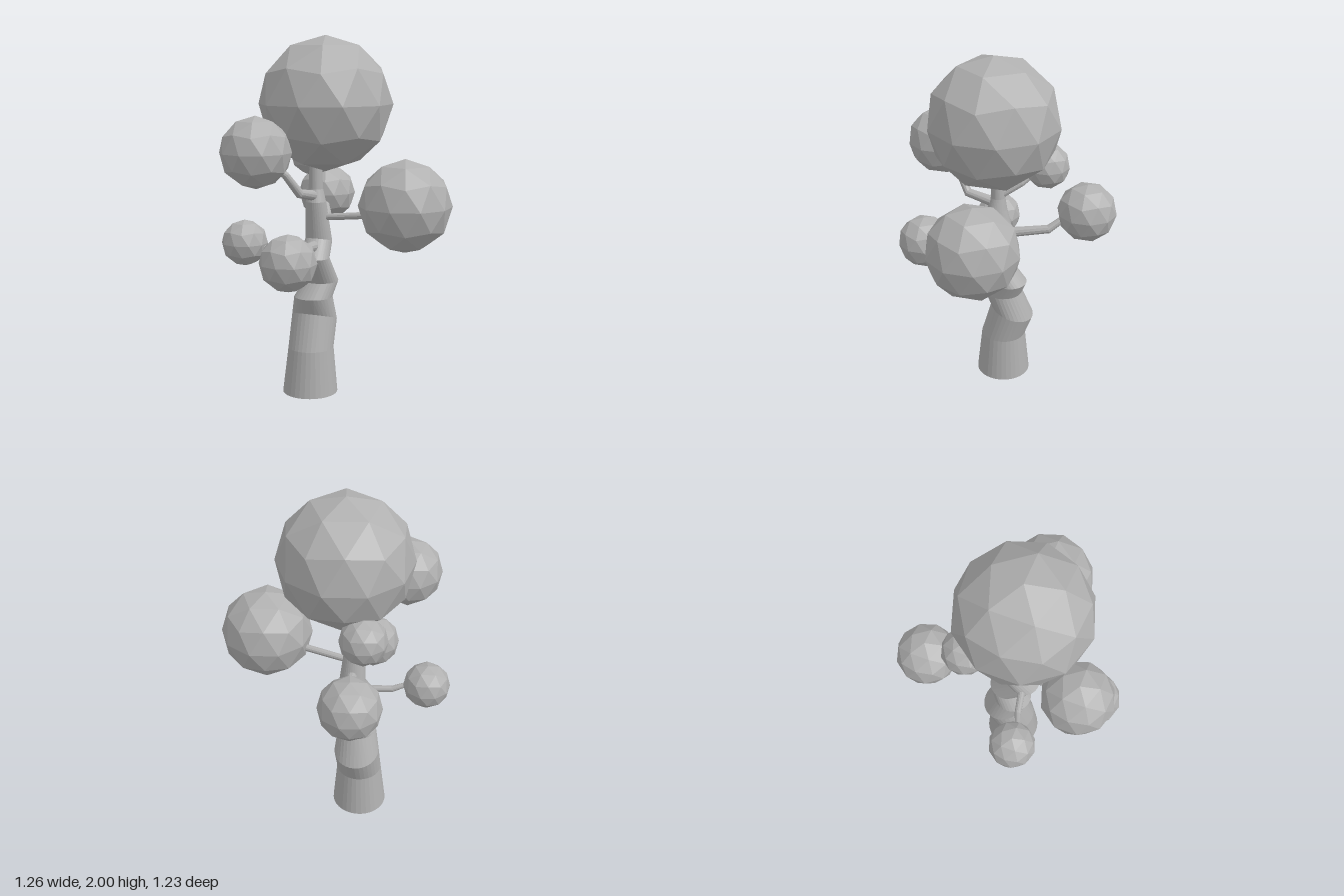
import * as THREE from 'three';

const V = (a) => new THREE.Vector3(a[0], a[1], a[2]);
const UP = new THREE.Vector3(0, 1, 0);

// Skin a row of rings { c: centre, r: radius, n: normal }, closing both ends
function loft(rings, sides) {
  const pos = [], index = [];
  for (const { c, r, n } of rings) {
    const q = new THREE.Quaternion().setFromUnitVectors(UP, n);
    for (let i = 0; i < sides; i++) {
      const a = (i / sides) * Math.PI * 2;
      const p = new THREE.Vector3(Math.cos(a) * r, 0, Math.sin(a) * r).applyQuaternion(q).add(c);
      pos.push(p.x, p.y, p.z);
    }
  }
  const last = rings.length - 1, bottom = rings.length * sides, top = bottom + 1;
  pos.push(...rings[0].c.toArray(), ...rings[last].c.toArray());
  for (let i = 0; i < sides; i++) {
    const j = (i + 1) % sides;
    for (let k = 0; k < last; k++) {
      const a = k * sides, b = a + sides;
      index.push(a + i, b + i, b + j, a + i, b + j, a + j);
    }
    index.push(bottom, i, j, top, last * sides + j, last * sides + i);
  }
  const g = new THREE.BufferGeometry();
  g.setAttribute('position', new THREE.Float32BufferAttribute(pos, 3));
  g.setIndex(index);
  const flat = g.toNonIndexed();
  flat.computeVertexNormals();
  return flat;
}

export function createModel() {
  const group = new THREE.Group();
  const grey = new THREE.MeshStandardMaterial({ color: 0xb0b0b0, flatShading: true });
  grey.name = 'grey';
  const add = (name, geometry) => {
    const mesh = new THREE.Mesh(geometry, grey);
    mesh.name = name;
    group.add(mesh);
    return mesh;
  };

  // Crooked trunk: x, y, z, radius, slope of the ring along z
  const trunk = [
    [-0.17, 0, 0.01, 0.155, 0],
    [-0.165, 0.26, 0.008, 0.128, 0],
    [-0.165, 0.427, -0.045, 0.128, 0.32],
    [-0.15, 0.555, 0.005, 0.108, 0],
    [-0.122, 0.64, -0.04, 0.098, 0],
    [-0.12, 0.79, 0.065, 0.086, 0],
    [-0.12, 0.88, -0.005, 0.075, 0.25],
    [-0.12, 1.1, 0.035, 0.056, 0],
    [-0.122, 1.17, 0.03, 0.04, 0],
    [-0.12, 1.4, 0.035, 0.03, 0],
  ];
  add('trunk', loft(trunk.map(([x, y, z, r, s]) => (
    { c: V([x, y, z]), r, n: new THREE.Vector3(0, 1, -s).normalize() })), 32));

  // Tapering bent branches: points from trunk to foliage, start and end radius
  const branches = {
    rightHighBranch: [[[-0.12, 1.13, 0.03], [-0.14, 1.165, 0.21], [-0.19, 1.27, 0.28], [-0.27, 1.36, 0.37]], 0.03, 0.016],
    leftBranch: [[[-0.12, 1.01, 0.02], [0.02, 1.022, 0.02], [0.25, 1.045, 0.017]], 0.018, 0.02],
    rightLowBranch: [[[-0.12, 0.79, 0.06], [-0.32, 0.808, 0.1], [-0.4, 0.84, 0.13], [-0.47, 0.855, 0.137]], 0.022, 0.01],
    frontBranch: [[[-0.12, 0.85, 0.03], [-0.11, 0.862, 0.15], [-0.1, 0.877, 0.33], [-0.095, 0.87, 0.42]], 0.035, 0.01],
    backLowBranch: [[[-0.12, 0.95, 0], [-0.17, 0.985, -0.25], [-0.215, 1.045, -0.33], [-0.24, 1.07, -0.4]], 0.03, 0.014],
    backHighBranch: [[[-0.12, 1.18, 0.03], [-0.17, 1.25, -0.09], [-0.23, 1.32, -0.18]], 0.026, 0.014],
  };
  for (const [name, [points, r0, r1]] of Object.entries(branches)) {
    const p = points.map(V), last = p.length - 1;
    add(name, loft(p.map((c, i) => ({
      c,
      r: r0 + (r1 - r0) * i / last,
      n: p[Math.min(i + 1, last)].clone().sub(p[Math.max(i - 1, 0)]).normalize(),
    })), 12));
  }

  // Faceted foliage balls, turned so that one vertex points straight up
  const ball = new THREE.IcosahedronGeometry(1, 1);
  ball.rotateZ(-Math.atan2(2, 1 + Math.sqrt(5)));
  const foliage = {
    crown: [-0.06, 1.635, 0.035, 0.365],
    leftFoliage: [0.389, 1.1, 0.017, 0.253],
    rightHighFoliage: [-0.296, 1.398, 0.413, 0.19],
    backLowFoliage: [-0.252, 1.083, -0.447, 0.168],
    frontFoliage: [-0.094, 0.84, 0.464, 0.152],
    rightLowFoliage: [-0.508, 0.86, 0.138, 0.13],
    backHighFoliage: [-0.244, 1.338, -0.214, 0.128],
  };
  for (const [name, [x, y, z, r]] of Object.entries(foliage)) {
    const mesh = add(name, ball);
    mesh.position.set(x, y, z);
    mesh.scale.setScalar(r);
  }
  return group;
}
